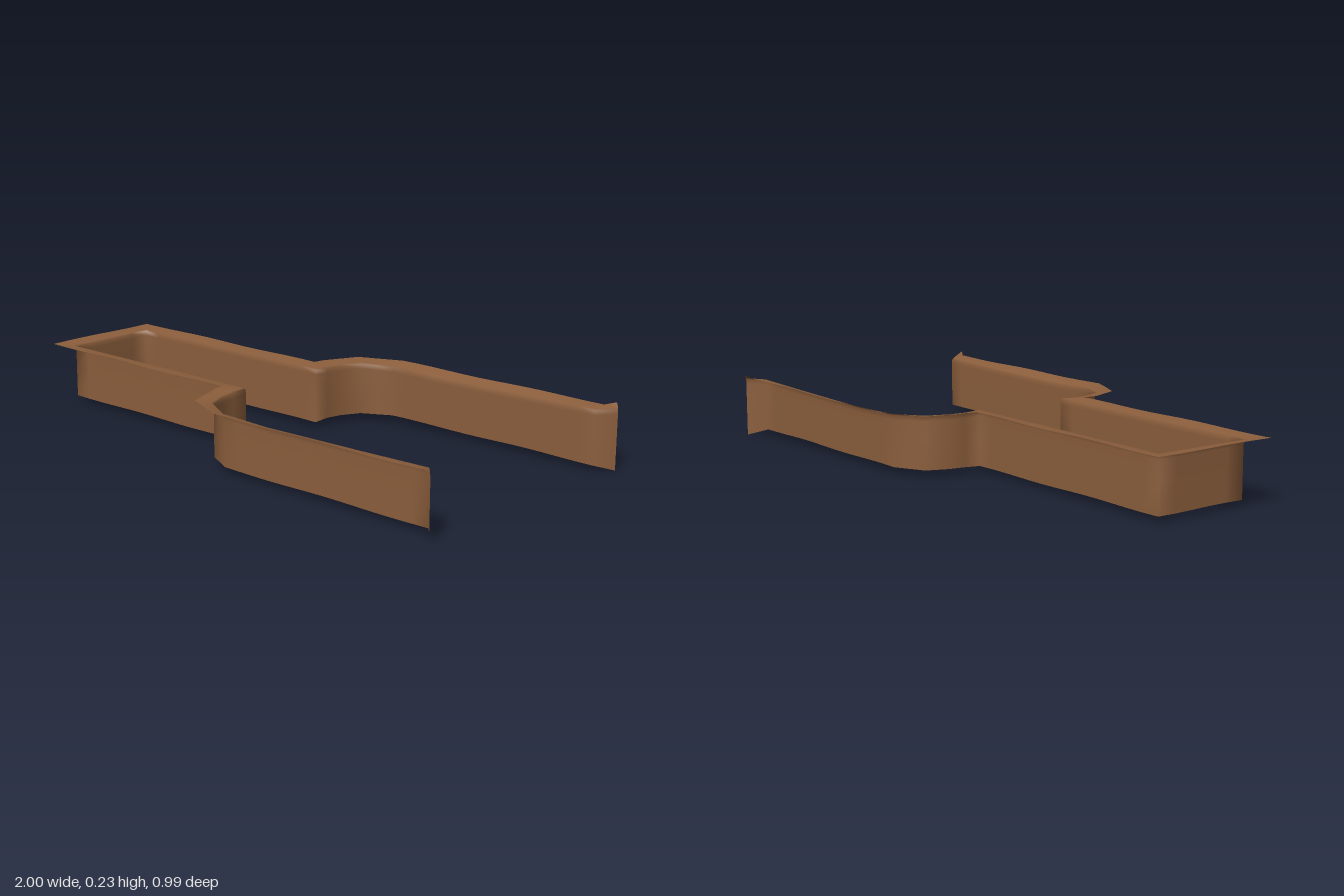
import * as THREE from 'three';

// Half of the plan: inner wall x, z, outer lip x, z, wall foot y, wall top y, lip edge y
const HALF = [
  [1.0, 0.482, 0.985, 0.496, 0.0, 0.212, 0.226],
  [0.95, 0.422, 0.95, 0.475, 0.02, 0.208, 0.216],
  [0.7, 0.422, 0.7, 0.475, 0.021, 0.203, 0.215],
  [0.3, 0.422, 0.3, 0.475, 0.021, 0.197, 0.214],
  [0.1, 0.422, 0.1, 0.475, 0.021, 0.203, 0.214],
  [-0.005, 0.367, -0.053, 0.406, 0.021, 0.207, 0.215],
  [-0.037, 0.295, -0.092, 0.305, 0.021, 0.208, 0.216],
  [-0.048, 0.235, -0.102, 0.27, 0.021, 0.209, 0.217],
  [-0.048, 0.174, -0.108, 0.232, 0.018, 0.212, 0.218],
  [-0.94, 0.174, -1.0, 0.232, 0.02, 0.211, 0.218],
];

export function createModel() {
  const group = new THREE.Group();
  const brown = new THREE.MeshStandardMaterial({ color: 0x8b5e3c, side: THREE.DoubleSide });
  brown.name = 'brown';

  // Mirror the plan across z, then subdivide the long runs
  const mirrored = HALF.map(([a, b, c, d, ...y]) => [a, -b, c, -d, ...y]).reverse();
  const corners = [...HALF, ...mirrored];
  const stations = [corners[0]];
  for (let i = 1; i < corners.length; i++) {
    const p = corners[i - 1], q = corners[i];
    const n = Math.max(1, Math.round(Math.hypot(q[0] - p[0], q[1] - p[1]) / 0.07));
    for (let k = 1; k <= n; k++) {
      stations.push(p.map((v, j) => v + (q[j] - v) * k / n));
    }
  }

  // Cross-section: upright wall, small bend, flat lip
  const positions = [], index = [];
  const rows = 6;
  stations.forEach(([ix, iz, ox, oz, foot, top, edge], i) => {
    const wave = 0.0015 * Math.sin(ix * 13 + iz * 17);
    const section = [
      [0, foot + wave],
      [0, foot + (top - foot) * 0.5],
      [0, top - 0.02],
      [0.02, top - 0.004],
      [0.12, top + 0.001],
      [1, edge + wave],
    ];
    for (const [t, y] of section) positions.push(ix + (ox - ix) * t, y, iz + (oz - iz) * t);
    if (i === stations.length - 1) return;
    for (let j = 0; j < rows - 1; j++) {
      const a = i * rows + j, b = a + rows;
      index.push(a, b, a + 1, b, b + 1, a + 1);
    }
  });
  const geometry = new THREE.BufferGeometry();
  geometry.setAttribute('position', new THREE.Float32BufferAttribute(positions, 3));
  geometry.setIndex(index);
  geometry.computeVertexNormals();

  const wall = new THREE.Mesh(geometry, brown);
  wall.name = 'flangedWall';
  group.add(wall);
  return group;
}
